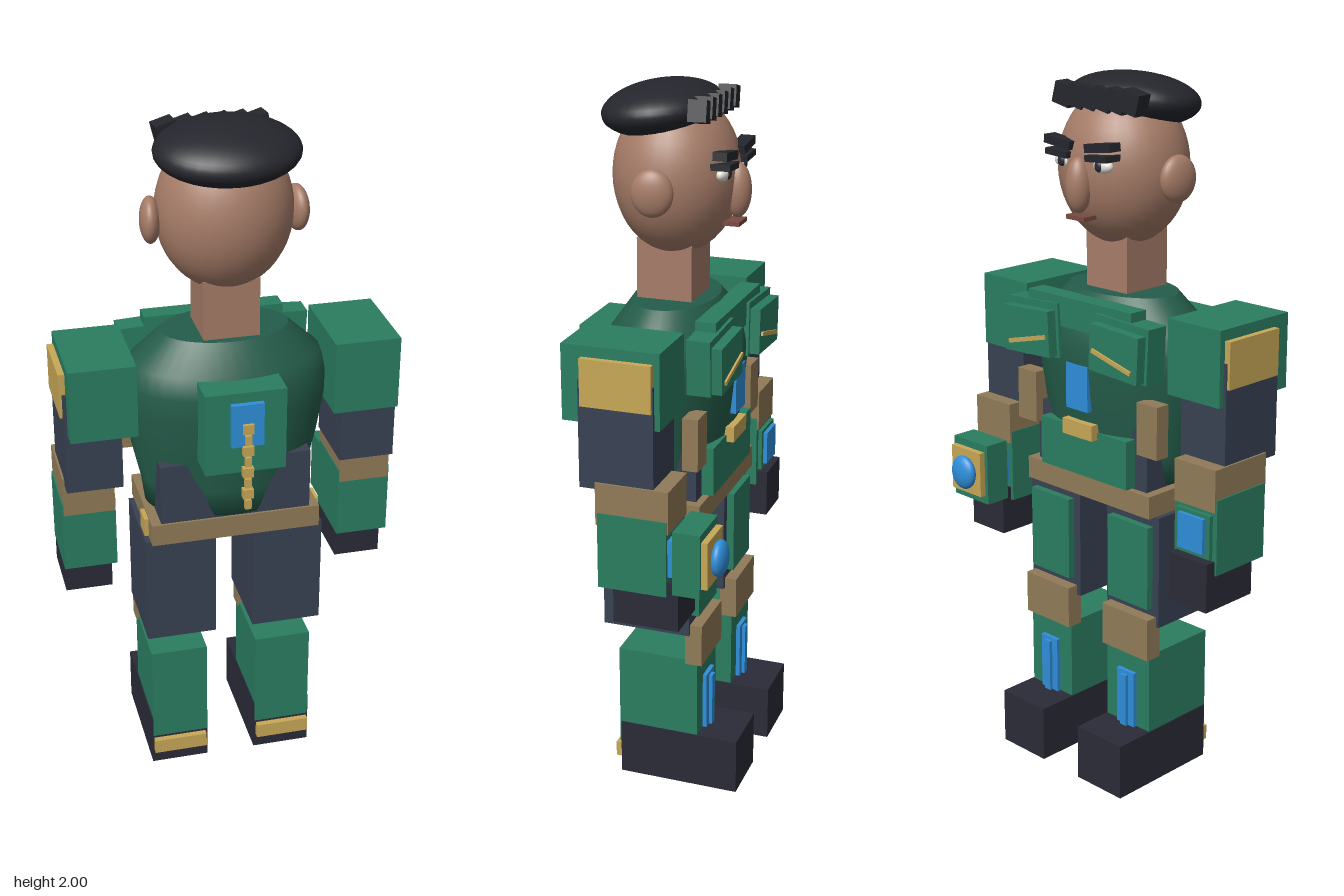
import * as THREE from 'three';

const mat = (color) => new THREE.MeshStandardMaterial({ color });

export function createModel() {
  const root = new THREE.Group();
  root.name = 'armouredFigure';
  const M = {
    green: mat(0x2a7d60), darkGreen: mat(0x245c4a), navy: mat(0x384152), dark: mat(0x2b2b38),
    tan: mat(0x917b58), gold: mat(0xc8a857), blue: mat(0x2f8fdb), skin: mat(0xa67c68),
    hair: mat(0x25262d), white: mat(0xe8e4dc), lip: mat(0x7a4a42),
  };

  // Box from its ranges on each axis
  function box(name, m, x, y, z, rz = 0) {
    const mesh = new THREE.Mesh(new THREE.BoxGeometry(x[1] - x[0], y[1] - y[0], z[1] - z[0]), M[m]);
    mesh.position.set((x[0] + x[1]) / 2, (y[0] + y[1]) / 2, (z[0] + z[1]) / 2);
    mesh.rotation.z = rz;
    mesh.name = name;
    root.add(mesh);
    return mesh;
  }
  // The same box on either side; s = 1 is the model's left
  function sideBox(name, m, s, x, y, z, rz = 0) {
    return box(name, m, s > 0 ? x : [-x[1], -x[0]], y, z, rz * s);
  }
  function ellipsoid(name, m, p, r, cut = Math.PI) {
    const mesh = new THREE.Mesh(new THREE.SphereGeometry(1, 32, 24, 0, Math.PI * 2, 0, cut), M[m]);
    mesh.position.set(...p);
    mesh.scale.set(...r);
    mesh.name = name;
    root.add(mesh);
    return mesh;
  }

  // Head, hair cap and fringe
  ellipsoid('head', 'skin', [0, 1.75, 0], [0.187, 0.22, 0.174]);
  ellipsoid('hairCap', 'hair', [0, 1.924, 0.04], [0.197, 0.074, 0.163]).rotation.x = 0.12;
  for (let i = 0; i < 6; i++) {
    const x = -0.135 + i * 0.05;
    const tuft = box('fringeTuft', 'hair', [x - 0.029, x + 0.029], [1.91, 1.968], [-0.125, -0.075], 0.25);
    tuft.rotation.y = 0.12;
  }
  ellipsoid('nose', 'skin', [0, 1.715, -0.172], [0.037, 0.075, 0.037]);
  box('mouth', 'lip', [-0.035, 0.035], [1.622, 1.634], [-0.187, -0.14]);
  for (const s of [-1, 1]) {
    ellipsoid('ear', 'skin', [s * 0.2, 1.735, 0], [0.029, 0.064, 0.057]).rotation.y = s * 0.15;
    sideBox('eyebrow', 'hair', s, [0.028, 0.125], [1.81, 1.833], [-0.18, -0.14], 0.12);
    sideBox('eyelid', 'hair', s, [0.035, 0.115], [1.785, 1.802], [-0.185, -0.13], 0.06);
    ellipsoid('eye', 'white', [s * 0.073, 1.772, -0.153], [0.034, 0.02, 0.018]);
    ellipsoid('pupil', 'dark', [s * 0.07, 1.772, -0.167], [0.013, 0.015, 0.008]);
  }
  box('neck', 'skin', [-0.078, 0.078], [1.38, 1.58], [-0.068, 0.09]);

  // Torso: rounded profile squashed front to back
  const profile = [[0, 0.89], [0.232, 0.89], [0.243, 0.97], [0.268, 1.08], [0.288, 1.2], [0.29, 1.27], [0.27, 1.33], [0.18, 1.412]];
  const torsoGeo = new THREE.LatheGeometry(profile.map((p) => new THREE.Vector2(...p)), 40);
  const torso = new THREE.Mesh(torsoGeo, M.darkGreen);
  torso.scale.z = 0.64;
  torso.name = 'torso';
  root.add(torso);
  const top = new THREE.Mesh(new THREE.CircleGeometry(0.18, 40), M.darkGreen);
  top.rotation.x = -Math.PI / 2;
  top.scale.y = 0.64;
  top.position.y = 1.412;
  top.name = 'torsoTop';
  root.add(top);
  box('abdomen', 'navy', [-0.215, 0.215], [0.85, 1.065], [-0.13, 0.143]);
  box('belt', 'tan', [-0.243, 0.243], [0.82, 0.885], [-0.15, 0.15]);

  // Chest side: collar, badge, buckle and stomach plate
  box('collarPlate', 'green', [-0.2, 0.2], [1.315, 1.4], [-0.178, -0.12]);
  box('chestGem', 'blue', [-0.042, 0.042], [1.09, 1.22], [-0.187, -0.14]);
  box('chestBuckle', 'gold', [-0.058, 0.058], [1.01, 1.055], [-0.187, -0.15]);
  box('stomachPlate', 'green', [-0.17, 0.17], [0.89, 1.03], [-0.165, -0.12]);

  // Backpack with a lit panel and a hanging chain
  box('backpack', 'green', [-0.113, 0.113], [1.085, 1.325], [0.1, 0.25]);
  box('backpackPanel', 'blue', [-0.045, 0.045], [1.175, 1.3], [0.257, 0.273]);
  box('panelMount', 'dark', [-0.03, 0.03], [1.19, 1.285], [0.25, 0.257]);
  for (let i = 0; i < 8; i++) {
    const y = 1.23 - i * 0.033;
    const w = i % 2 ? 0.009 : 0.015;
    box('chainLink', 'gold', [-w, w], [y - 0.014, y + 0.014], [i % 2 ? 0.268 : 0.264, 0.283]);
  }

  for (const s of [-1, 1]) {
    // Chest armour and side pouches
    sideBox('chestPlate', 'green', s, [0.07, 0.27], [1.22, 1.375], [-0.187, -0.12], -0.05);
    sideBox('chestPlateFront', 'green', s, [0.08, 0.26], [1.225, 1.355], [-0.216, -0.187], -0.05);
    sideBox('chestTrim', 'gold', s, [0.09, 0.24], [1.262, 1.274], [-0.222, -0.21], -0.25);
    sideBox('sidePouch', 'tan', s, [0.2, 0.275], [1.0, 1.15], [-0.155, -0.11]);
    sideBox('beltClip', 'gold', s, [0.235, 0.255], [0.825, 0.88], [0.04, 0.1]);

    // Arms
    sideBox('shoulderPad', 'green', s, [0.275, 0.46], [1.18, 1.39], [-0.115, 0.157]);
    sideBox('shoulderBadge', 'gold', s, [0.455, 0.478], [1.23, 1.36], [-0.097, 0.1]);
    sideBox('upperArm', 'navy', s, [0.312, 0.47], [1.0, 1.3], [-0.1, 0.108]);
    sideBox('elbowBand', 'tan', s, [0.33, 0.476], [0.9, 1.02], [-0.143, 0.062]);
    sideBox('forearm', 'green', s, [0.328, 0.48], [0.72, 0.935], [-0.138, 0.056]);
    sideBox('hand', 'dark', s, [0.338, 0.474], [0.62, 0.76], [-0.17, 0.015]);

    // Legs
    sideBox('thigh', 'navy', s, [0.055, 0.258], [0.49, 0.82], [-0.125, 0.13]);
    sideBox('thighPlate', 'green', s, [0.08, 0.235], [0.545, 0.79], [-0.147, -0.11]);
    sideBox('kneePad', 'tan', s, [0.07, 0.248], [0.395, 0.52], [-0.16, -0.11]);
    sideBox('shin', 'green', s, [0.075, 0.242], [0.1, 0.405], [-0.145, 0.092]);
    sideBox('shinLight', 'blue', s, [0.125, 0.192], [0.16, 0.335], [-0.157, -0.14]);
    sideBox('shinLightStripe', 'blue', s, [0.147, 0.17], [0.16, 0.325], [-0.167, -0.15]);
    sideBox('boot', 'dark', s, [0.073, 0.245], [0, 0.165], [-0.265, 0.088]);
    sideBox('heelTrim', 'gold', s, [0.08, 0.24], [0.045, 0.09], [0.085, 0.106]);
  }

  // Right wrist screen
  box('wristScreenFrame', 'green', [-0.465, -0.345], [0.765, 0.89], [-0.15, -0.13]);
  box('wristScreen', 'blue', [-0.45, -0.36], [0.78, 0.88], [-0.162, -0.14]);

  // Left wrist emitter
  box('emitterBase', 'blue', [0.345, 0.47], [0.775, 0.88], [-0.157, -0.13]);
  box('emitterHousing', 'green', [0.333, 0.48], [0.73, 0.912], [-0.232, -0.155]);
  box('emitterRim', 'gold', [0.345, 0.471], [0.755, 0.89], [-0.25, -0.23]);
  ellipsoid('emitterLens', 'blue', [0.405, 0.822, -0.262], [0.047, 0.051, 0.023]);

  return root;
}
